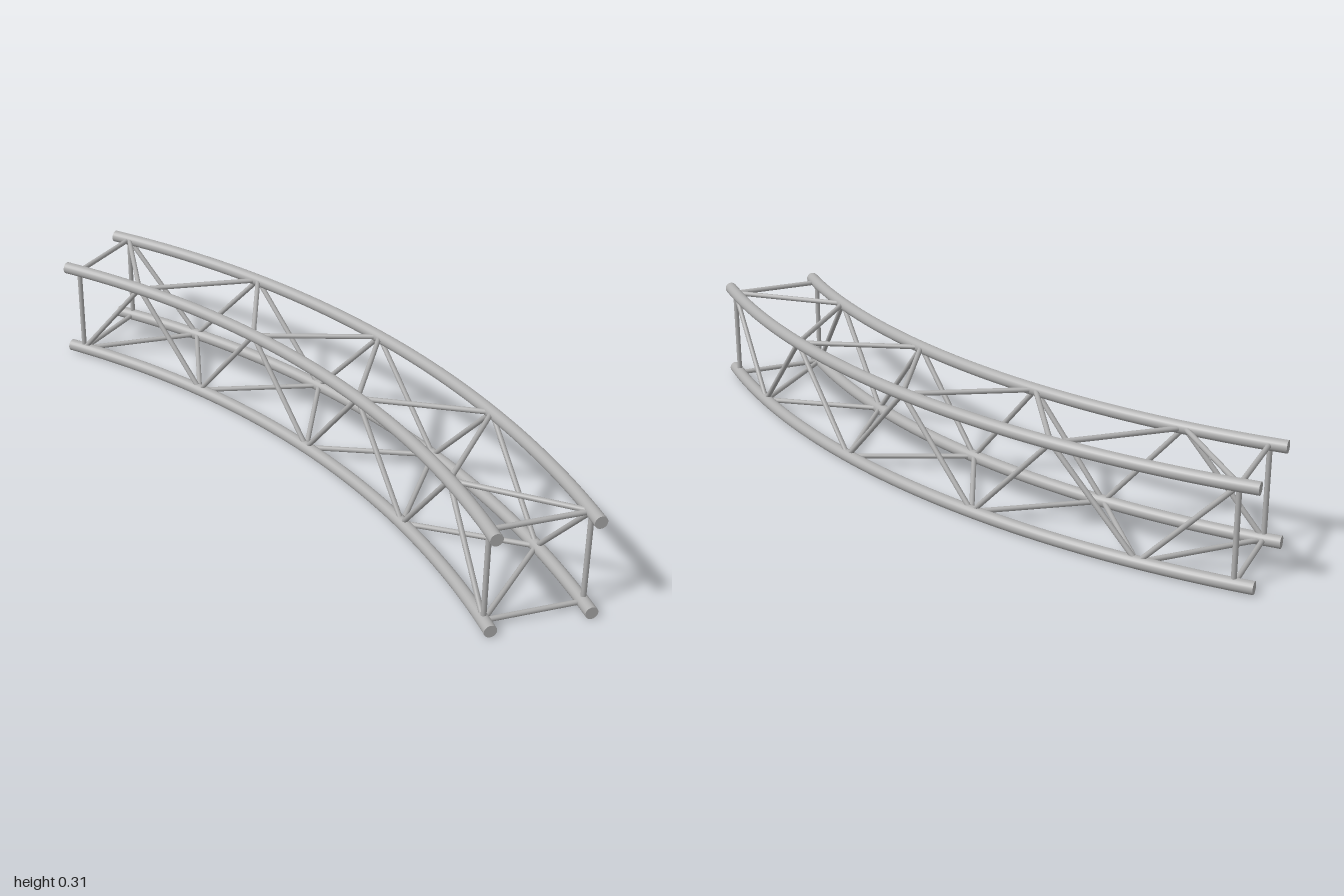
import * as THREE from 'three';

const SWEEP = Math.PI / 4;                 // the truss bends through 45 degrees
const CX = -2.305, CZ = 1;                 // centre of the bend
const R_IN = 2.536, R_OUT = 2.811;         // chord bend radii
const R_CHORD = 0.018, R_STRUT = 0.0075;   // pipe radii
const Y_LOW = 0.018, Y_TOP = 0.294;
const BAYS = 8, FIRST = 1.1, LAST = 43.9;  // lacing nodes, in degrees

const arcPoint = (radius, angle, y) => new THREE.Vector3(
  CX + radius * Math.cos(angle), y, CZ - radius * Math.sin(angle));

class ArcCurve extends THREE.Curve {
  constructor(radius, y) {
    super();
    this.radius = radius;
    this.y = y;
  }
  getPoint(t, target = new THREE.Vector3()) {
    return target.copy(arcPoint(this.radius, t * SWEEP, this.y));
  }
}

export function createModel() {
  const model = new THREE.Group();
  model.name = 'curvedTruss';
  const steel = new THREE.MeshStandardMaterial({ color: 0xb0b0b0 });
  steel.name = 'grey metal';

  const add = (name, geometry, parent = model) => {
    const mesh = new THREE.Mesh(geometry, steel);
    mesh.name = name;
    parent.add(mesh);
    return mesh;
  };

  // Main pipe with closed ends
  const chord = (name, radius, y) => {
    const group = new THREE.Group();
    group.name = name;
    add('pipe', new THREE.TubeGeometry(new ArcCurve(radius, y), 48, R_CHORD, 20), group);
    for (const [angle, turn] of [[0, 0], [SWEEP, SWEEP + Math.PI]]) {
      const cap = add('endCap', new THREE.CircleGeometry(R_CHORD, 20), group);
      cap.position.copy(arcPoint(radius, angle, y));
      cap.rotation.y = turn;
    }
    model.add(group);
  };
  chord('innerLowerChord', R_IN, Y_LOW);
  chord('innerUpperChord', R_IN, Y_TOP);
  chord('outerLowerChord', R_OUT, Y_LOW);
  chord('outerUpperChord', R_OUT, Y_TOP);

  // Thin rod between two points
  const up = new THREE.Vector3(0, 1, 0);
  const strut = (name, a, b) => {
    const dir = b.clone().sub(a);
    const rod = add(name, new THREE.CylinderGeometry(R_STRUT, R_STRUT, dir.length(), 12, 1, true));
    rod.position.copy(a).add(b).multiplyScalar(0.5);
    rod.quaternion.setFromUnitVectors(up, dir.normalize());
  };
  const node = (k, radius, y) => arcPoint(
    radius, THREE.MathUtils.degToRad(FIRST + (LAST - FIRST) * k / BAYS), y);

  // Zigzag lacing on the four faces: [name, even node, odd node]
  const faces = [
    ['outerLacing', [R_OUT, Y_TOP], [R_OUT, Y_LOW]],
    ['innerLacing', [R_IN, Y_LOW], [R_IN, Y_TOP]],
    ['upperLacing', [R_OUT, Y_TOP], [R_IN, Y_TOP]],
    ['lowerLacing', [R_IN, Y_LOW], [R_OUT, Y_LOW]],
  ];
  for (const [name, even, odd] of faces) {
    for (let k = 0; k < BAYS; k++) {
      const [from, to] = k % 2 ? [odd, even] : [even, odd];
      strut(name, node(k, ...from), node(k + 1, ...to));
    }
    // Square frame at each end
    for (const k of [0, BAYS]) strut('endFrame', node(k, ...even), node(k, ...odd));
  }
  return model;
}
